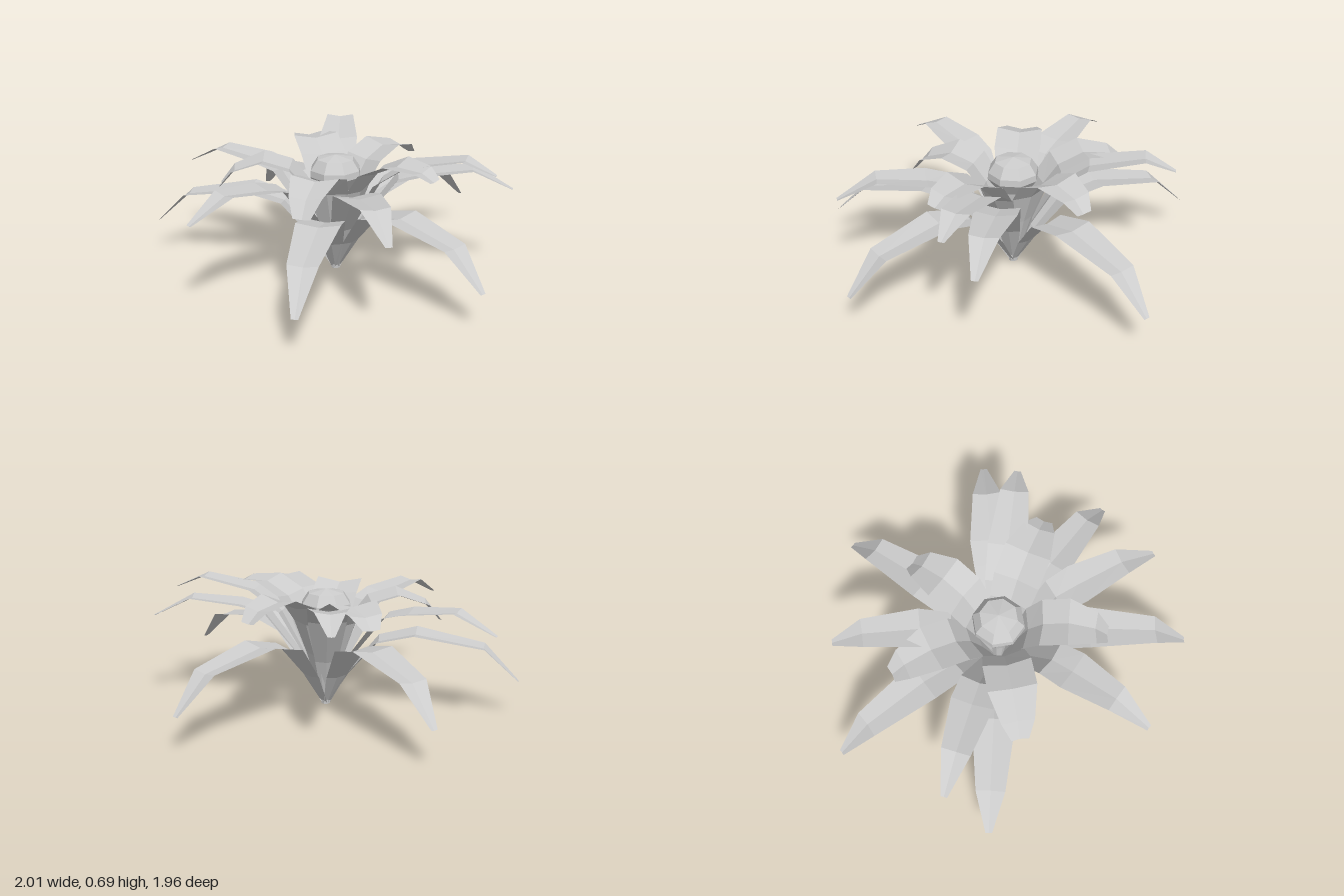
import * as THREE from 'three';

const material = new THREE.MeshStandardMaterial({
  color: 0xcccccc, flatShading: true, side: THREE.DoubleSide,
});

// Profile rows: [distance from centre, height, half width]
const LOW = [[0.01, 0.01, 0.02], [0.12, 0.19, 0.06], [0.28, 0.38, 0.1], [0.48, 0.43, 0.113], [0.84, 0.37, 0.075], [1.025, 0.195, 0.017]];
const MIDDLE = [[0.01, 0.02, 0.02], [0.13, 0.27, 0.06], [0.33, 0.53, 0.1], [0.46, 0.565, 0.11], [0.72, 0.595, 0.075], [0.93, 0.49, 0.017]];
const HIGH = [[0.01, 0.03, 0.02], [0.1, 0.27, 0.06], [0.24, 0.52, 0.1], [0.4, 0.63, 0.105], [0.69, 0.685, 0.075], [0.85, 0.615, 0.017]];
// Petal rows add a fourth value: how far the row follows the tip height
const PETAL = [[0.02, 0.04, 0.02, 0], [0.09, 0.3, 0.07, 0], [0.15, 0.48, 0.11, 0], [0.23, 0.585, 0.125, 0.1], [0.37, 0.64, 0.125, 0.3], [0.52, 0.605, 0.085, 0.65], [0.59, 0.54, 0.045, 1]];

// Channelled strip running outward along +x; fold sinks the midrib below the edges
function bladeGeometry(profile, fold) {
  const positions = [], index = [];
  profile.forEach(([r, y, w], i) => {
    const a = profile[Math.max(i - 1, 0)];
    const b = profile[Math.min(i + 1, profile.length - 1)];
    const dr = b[0] - a[0], dy = b[1] - a[1], len = Math.hypot(dr, dy);
    const lift = fold * w / 2;
    const nx = -dy / len * lift, ny = dr / len * lift;
    positions.push(r + nx, y + ny, -w, r - nx, y - ny, 0, r + nx, y + ny, w);
    if (i === 0) return;
    for (let j = 0; j < 2; j++) {
      const p = (i - 1) * 3 + j, q = i * 3 + j;
      index.push(p, p + 1, q, p + 1, q + 1, q);
    }
  });
  const geometry = new THREE.BufferGeometry();
  geometry.setAttribute('position', new THREE.Float32BufferAttribute(positions, 3));
  geometry.setIndex(index);
  geometry.computeVertexNormals();
  return geometry;
}

export function createModel() {
  const model = new THREE.Group();
  const plant = new THREE.Group();
  plant.name = 'plant';
  plant.position.set(-0.025, 0, 0.04);
  model.add(plant);

  const addBlade = (name, geometry, degrees) => {
    const mesh = new THREE.Mesh(geometry, material);
    mesh.name = name;
    mesh.rotation.y = -THREE.MathUtils.degToRad(degrees);
    plant.add(mesh);
  };

  // Three tiers of long leaves, angles measured from +x towards +z
  const tiers = [
    ['lowLeaf', LOW, [-90, 0.5, 52.7, 147, 198]],
    ['middleLeaf', MIDDLE, [-40.8, 27.8, 90, 161]],
    ['highLeaf', HIGH, [-28.8, -135]],
  ];
  for (const [name, profile, angles] of tiers) {
    const geometry = bladeGeometry(profile, 0.16);
    angles.forEach((angle) => addBlade(name, geometry, angle));
  }

  // Inner petals: angle, reach and tip height
  const petals = [[-90, 0.56, 0.56], [-12, 0.6, 0.61], [59, 0.57, 0.49], [134, 0.61, 0.48], [206, 0.61, 0.57]];
  for (const [angle, reach, tipHeight] of petals) {
    const profile = PETAL.map(([r, y, w, t]) => [r * reach / 0.59, y + (tipHeight - 0.54) * t, w]);
    addBlade('petal', bladeGeometry(profile, 0.2), angle);
  }

  // Slim core carrying the faceted bud
  const lathe = (name, points) => {
    const mesh = new THREE.Mesh(
      new THREE.LatheGeometry(points.map(([x, y]) => new THREE.Vector2(x, y)), 8, Math.PI / 8), material);
    mesh.name = name;
    plant.add(mesh);
  };
  lathe('core', [[0, 0], [0.025, 0.01], [0.045, 0.25], [0.09, 0.47]]);
  lathe('bud', [[0.09, 0.47], [0.14, 0.54], [0.137, 0.575], [0.1, 0.63], [0, 0.65]]);

  return model;
}
